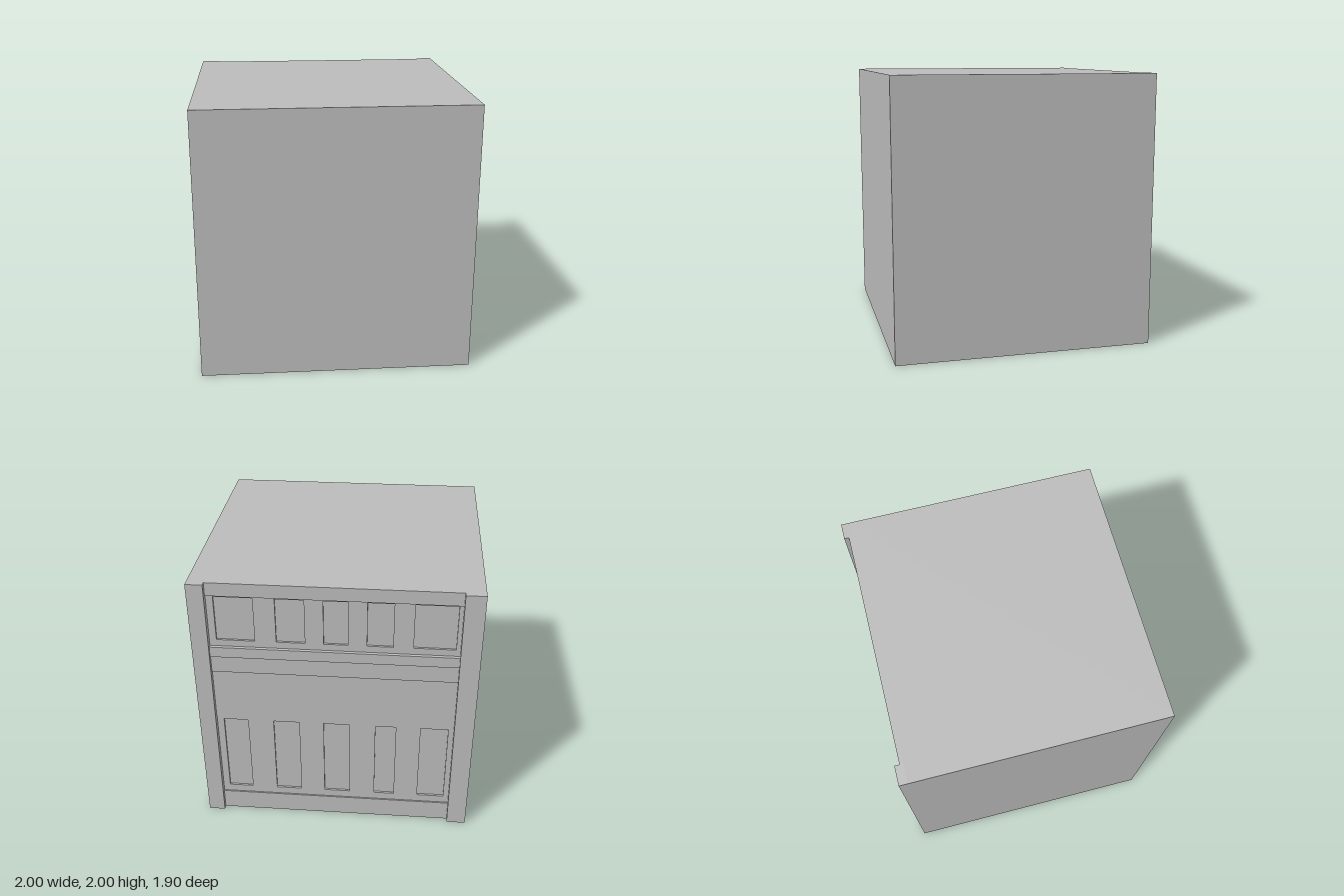
import * as THREE from 'three';

export function createModel() {
  const group = new THREE.Group();
  group.name = 'building';
  const concrete = new THREE.MeshStandardMaterial({ color: 0xbcbcbc });
  concrete.name = 'concrete grey';

  const LEFT = 0.88, RIGHT = -0.86; // edges of the recessed facade
  const CORE = -0.89;               // back plane of the solid body

  // box given by its limits on each axis
  function block(name, x0, x1, y0, y1, z0, z1) {
    const mesh = new THREE.Mesh(new THREE.BoxGeometry(x1 - x0, y1 - y0, z1 - z0), concrete);
    mesh.position.set((x0 + x1) / 2, (y0 + y1) / 2, (z0 + z1) / 2);
    mesh.name = name;
    group.add(mesh);
  }

  // wall strip pierced by window openings, set on the back of the body
  function windowWall(name, y0, y1, sill, head, windows, z) {
    const shape = new THREE.Shape();
    shape.moveTo(RIGHT, y0).lineTo(LEFT, y0).lineTo(LEFT, y1).lineTo(RIGHT, y1).closePath();
    for (const [a, b] of windows) {
      const hole = new THREE.Path();
      hole.moveTo(a, sill).lineTo(a, head).lineTo(b, head).lineTo(b, sill).closePath();
      shape.holes.push(hole);
    }
    const geometry = new THREE.ExtrudeGeometry(shape, { depth: CORE - z, bevelEnabled: false });
    const mesh = new THREE.Mesh(geometry, concrete);
    mesh.position.z = z;
    mesh.name = name;
    group.add(mesh);
  }

  // main body and corner pillars
  block('body', -1, 1, 0, 2, CORE, 0.95);
  block('rightPillar', -1, RIGHT, 0, 2, -0.95, CORE);
  block('leftPillar', LEFT, 1, 0, 2, -0.95, CORE);

  // horizontal bands of the facade: name, bottom, top, back plane
  const bands = [
    ['base', 0, 0.16, -0.915],
    ['middleWall', 0.9, 1.29, -0.912],
    ['frieze', 1.29, 1.42, -0.92],
    ['ledge', 1.42, 1.5, -0.93],
    ['cornice', 1.9, 2, -0.915],
  ];
  for (const [name, y0, y1, z] of bands) block(name, RIGHT, LEFT, y0, y1, z, CORE);

  // window rows
  windowWall('lowerWindowWall', 0.16, 0.9, 0.22, 0.86,
    [[-0.82, -0.62], [-0.44, -0.29], [-0.1, 0.09], [0.27, 0.46], [0.65, 0.83]], -0.905);
  windowWall('upperWindowWall', 1.5, 1.9, 1.55, 1.89,
    [[-0.83, -0.54], [-0.4, -0.22], [-0.09, 0.08], [0.21, 0.41], [0.56, 0.83]], -0.905);

  return group;
}
